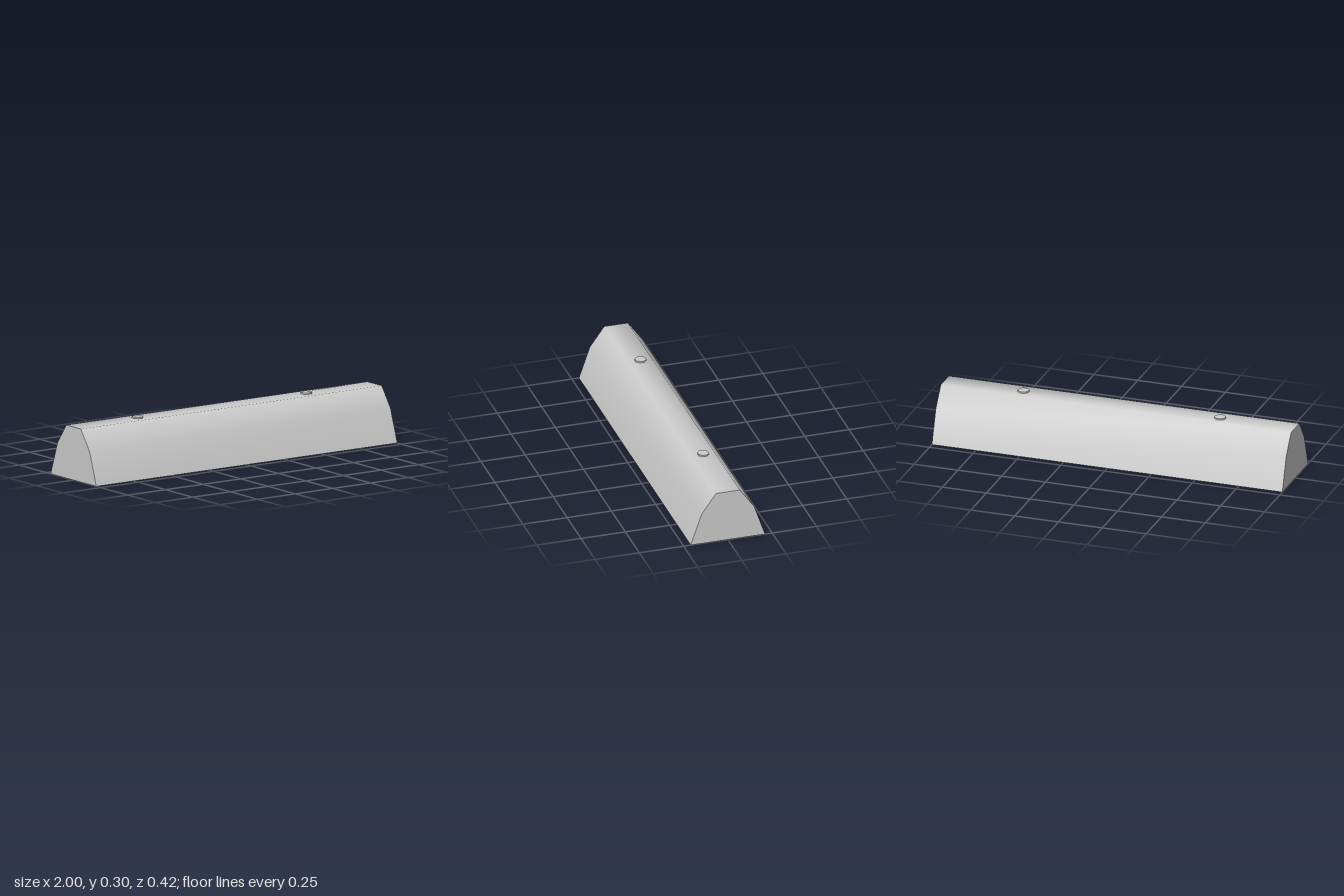
import * as THREE from 'three';

export function createModel() {
  const model = new THREE.Group();
  const concrete = new THREE.MeshStandardMaterial({ color: 0xcccccc });
  concrete.name = 'concrete grey';

  const add = (name, geometry) => {
    const mesh = new THREE.Mesh(geometry, concrete);
    mesh.name = name;
    model.add(mesh);
    return mesh;
  };

  // Cross-section as [z, y], from the back foot over the top to the front foot
  const half = [[-0.21, 0], [-0.148, 0.18], [-0.067, 0.292]];
  const profile = [...half, ...half.map(([z, y]) => [-z, y]).reverse()];

  // Outer skin: a plane bent over the profile, smooth across its ridges
  const skin = new THREE.PlaneGeometry(2, 1, 1, profile.length - 1);
  const pos = skin.attributes.position;
  for (let i = 0; i < pos.count; i++) {
    const [z, y] = profile[Math.floor(i / 2)];
    pos.setXYZ(i, pos.getX(i), y, z);
  }
  skin.computeVertexNormals();
  add('curbBody', skin);

  // Flat ends
  const section = new THREE.Shape(profile.map(([z, y]) => new THREE.Vector2(z, y)));
  for (const side of [-1, 1]) {
    const end = add(side > 0 ? 'leftEnd' : 'rightEnd', new THREE.ShapeGeometry(section));
    end.position.x = side;
    end.rotation.y = side * Math.PI / 2;
  }

  // Underside
  add('underside', new THREE.PlaneGeometry(2, 0.42).rotateX(Math.PI / 2));

  // Anchor bolt heads, just proud of the top
  for (const [name, x] of [['rightBolt', -0.573], ['leftBolt', 0.549]]) {
    const bolt = add(name, new THREE.CylinderGeometry(0.032, 0.032, 0.016, 8));
    bolt.position.set(x, 0.292, -0.003);
    bolt.rotation.y = Math.PI / 8;
  }

  return model;
}
